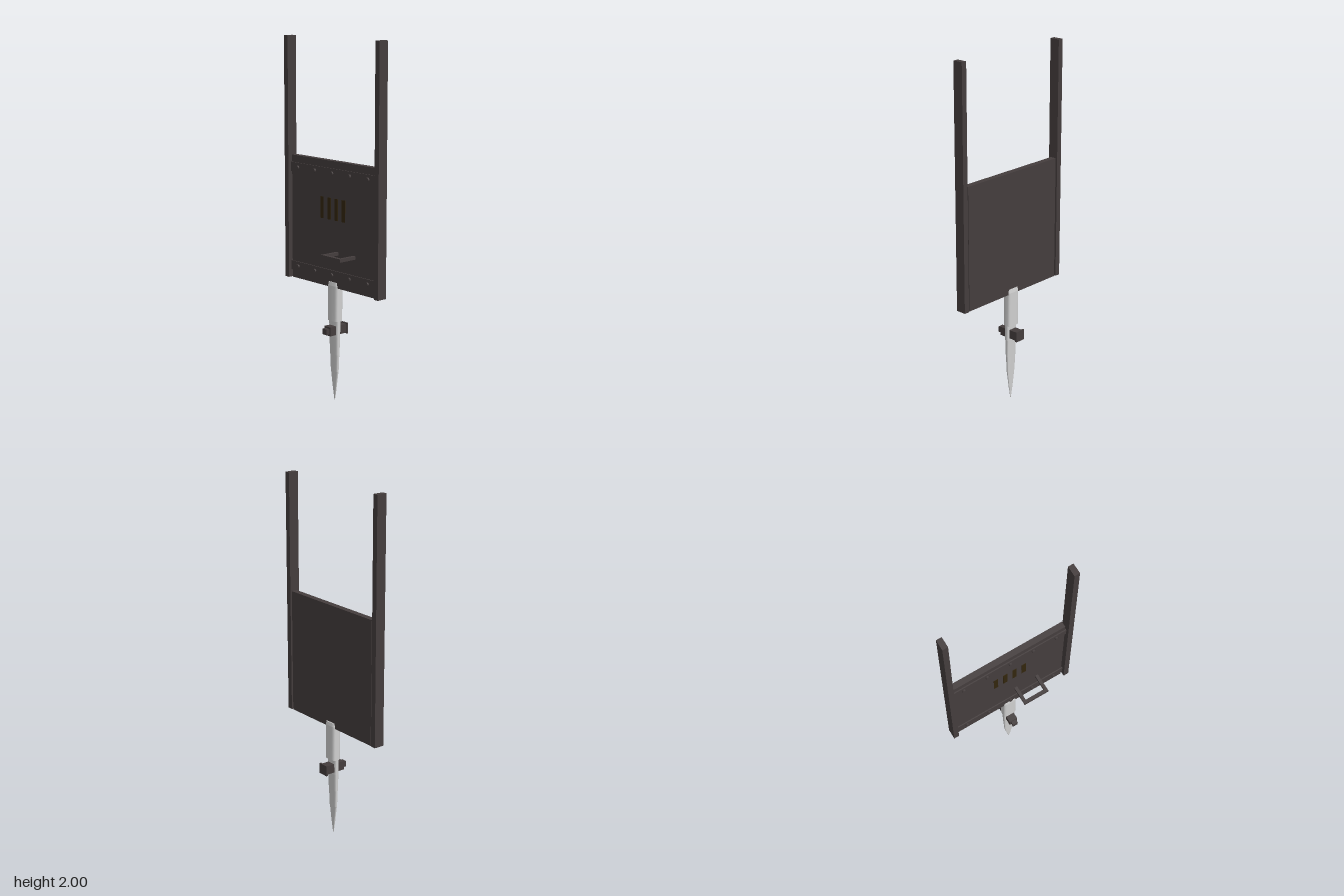
import * as THREE from 'three';

export function createModel() {
  const model = new THREE.Group();
  const mat = (name, color) => {
    const m = new THREE.MeshStandardMaterial({ color });
    m.name = name;
    return m;
  };
  const iron = mat('dark iron', 0x443d3d);
  const steel = mat('pale steel', 0xcfcfcf);
  const slotPaint = mat('dark brass', 0x33260d);

  const add = (name, geometry, material, parent = model) => {
    const mesh = new THREE.Mesh(geometry, material);
    mesh.name = name;
    parent.add(mesh);
    return mesh;
  };
  // Box given by its minimum and maximum corners
  const box = (name, x0, x1, y0, y1, z0, z1, material = iron, parent = model) => {
    const mesh = add(name, new THREE.BoxGeometry(x1 - x0, y1 - y0, z1 - z0), material, parent);
    mesh.position.set((x0 + x1) / 2, (y0 + y1) / 2, (z0 + z1) / 2);
    return mesh;
  };

  // Side rails
  box('leftRail', 0.347, 0.378, 0.645, 2, -0.05, 0.009);
  box('rightRail', -0.378, -0.347, 0.645, 2, -0.05, 0.009);

  // Door panel with two riveted bands
  box('panel', -0.339, 0.339, 0.645, 1.343, -0.046, -0.012);
  for (const y of [0.715, 1.277]) {
    box('band', -0.344, 0.344, y - 0.026, y + 0.026, -0.017, -0.006);
    for (let i = -2; i <= 2; i++) {
      const rivet = add('rivet', new THREE.CylinderGeometry(0.011, 0.011, 0.014, 12), iron);
      rivet.rotation.x = Math.PI / 2;
      rivet.position.set(i * 0.141, y, -0.003);
    }
  }

  // Vent slots
  for (let i = 0; i < 4; i++) {
    const x = -0.087 + i * 0.058;
    box('ventSlot', x - 0.013, x + 0.013, 1.02, 1.14, -0.014, -0.01, slotPaint);
  }

  // Pull handle
  const handle = new THREE.Group();
  handle.name = 'handle';
  model.add(handle);
  box('handlePost', 0.029, 0.047, 0.831, 0.849, -0.014, 0.08, iron, handle);
  box('handlePost', 0.164, 0.182, 0.831, 0.849, -0.014, 0.08, iron, handle);
  box('handleGrip', 0.029, 0.182, 0.831, 0.849, 0.08, 0.099, iron, handle);

  // Rounded-rectangle tapered length: bottom and top are [y, half width, half depth]
  const soft = (v) => Math.sign(v) * Math.pow(Math.abs(v), 0.5);
  const taper = (name, bottom, top, z) => {
    const g = new THREE.CylinderGeometry(1, 1, 1, 24);
    const p = g.attributes.position;
    for (let i = 0; i < p.count; i++) {
      const [y, w, d] = p.getY(i) > 0 ? top : bottom;
      p.setXYZ(i, soft(p.getX(i)) * w, y, soft(p.getZ(i)) * d);
    }
    g.computeVertexNormals();
    add(name, g, steel).position.z = z;
  };

  // Spike, from the thick socket down to the point
  taper('spikeSocketTop', [0.655, 0.04, 0.026], [0.675, 0.037, 0.023], -0.03);
  taper('spikeSocket', [0.455, 0.04, 0.026], [0.655, 0.04, 0.026], -0.03);
  taper('spikeCollar', [0.365, 0.036, 0.014], [0.455, 0.037, 0.015], -0.027);
  taper('spikeShank', [0.262, 0.033, 0.011], [0.365, 0.035, 0.014], -0.027);
  taper('spikeBlade', [0.165, 0.028, 0.008], [0.262, 0.032, 0.01], -0.027);
  taper('spikeLowerBlade', [0.07, 0.014, 0.004], [0.165, 0.028, 0.006], -0.027);
  taper('spikePoint', [0, 0.002, 0.001], [0.07, 0.014, 0.004], -0.027);

  // Cross bolt through the spike
  box('boltBody', -0.025, 0.025, 0.379, 0.429, -0.09, 0.028);
  box('boltTip', -0.016, 0.016, 0.388, 0.42, 0.028, 0.05);
  box('boltHead', -0.03, 0.03, 0.374, 0.434, -0.1, -0.09);

  return model;
}
